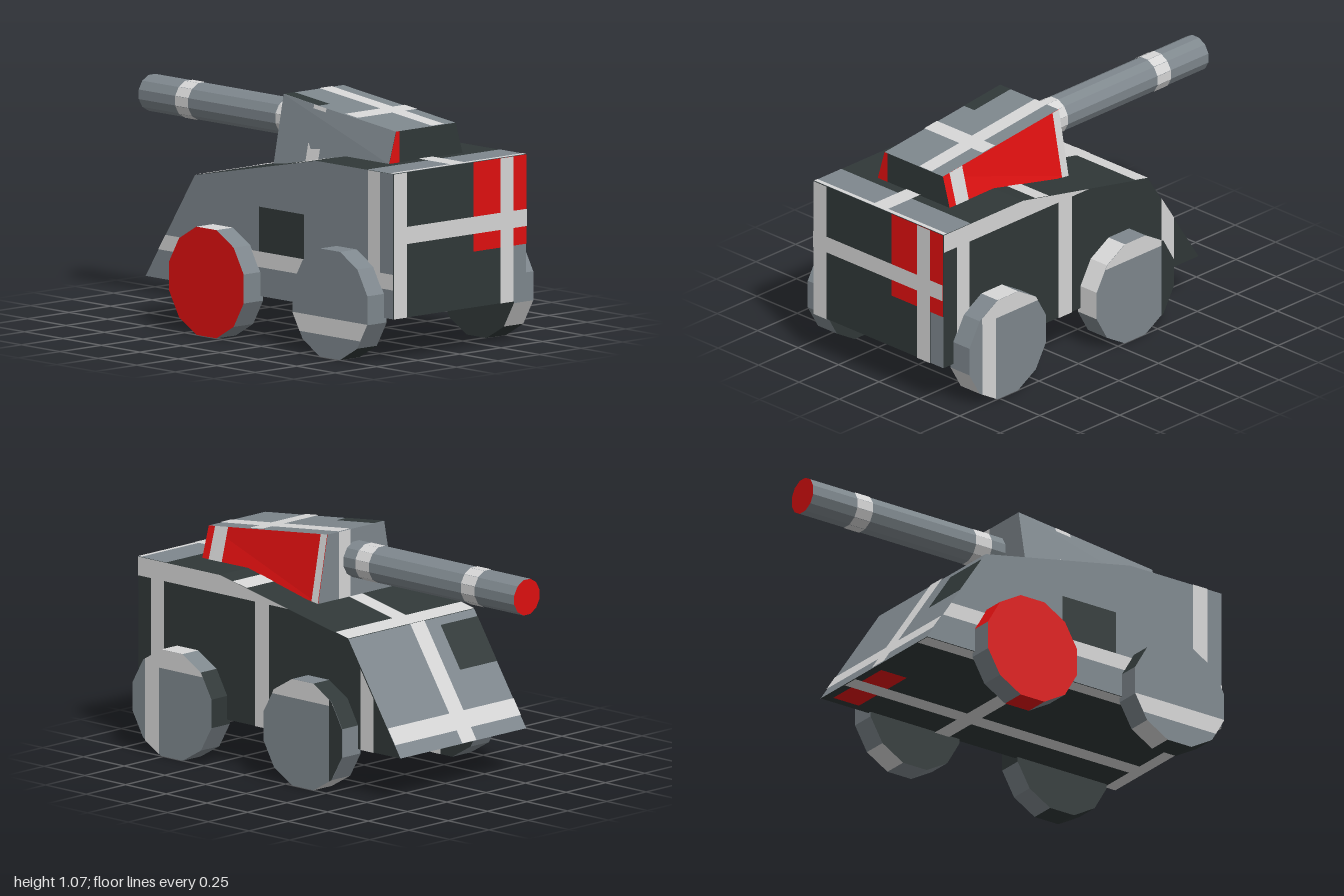
import * as THREE from 'three';

const V = (x, y, z) => new THREE.Vector3(x, y, z);
const mat = (name, color) => {
  const m = new THREE.MeshStandardMaterial({ color });
  m.name = name;
  return m;
};

// Keep the part of a convex polygon where one coordinate lies between lo and hi
function clip(points, axis, [lo, hi]) {
  for (const [limit, sign] of [[lo, 1], [hi, -1]]) {
    const out = [];
    points.forEach((p, i) => {
      const q = points[(i + 1) % points.length];
      const a = (p[axis] - limit) * sign, b = (q[axis] - limit) * sign;
      if (a >= 0) out.push(p);
      if (a * b < 0) out.push(p.clone().lerp(q, a / (a - b)));
    });
    points = out;
  }
  return points;
}

export function createModel() {
  const G = mat('blue grey', 0x7e878d), D = mat('dark green grey', 0x303838);
  const W = mat('pale grey', 0xd6d6d6), R = mat('red', 0xe01010);
  const model = new THREE.Group();

  const part = (name) => {
    const g = new THREE.Group();
    g.name = name;
    model.add(g);
    return g;
  };

  // Flat convex face turned away from centre, with painted patches [material, {axis: [lo, hi]}]
  function face(group, name, pts, centre, base, patches = []) {
    const mid = pts.reduce((s, p) => s.add(p), V(0, 0, 0)).divideScalar(pts.length);
    const n = pts[1].clone().sub(pts[0]).cross(pts[2].clone().sub(pts[0])).normalize();
    if (n.dot(mid.sub(centre)) < 0) {
      pts = [...pts].reverse();
      n.negate();
    }
    [[base, {}], ...patches].forEach(([material, box], layer) => {
      let poly = pts;
      for (const axis in box) poly = clip(poly, axis, box[axis]);
      if (poly.length < 3) return;
      poly = poly.map((p) => p.clone().addScaledVector(n, layer * 0.0014));
      const tris = [];
      for (let i = 1; i < poly.length - 1; i++) tris.push(poly[0], poly[i], poly[i + 1]);
      const geo = new THREE.BufferGeometry().setFromPoints(tris);
      geo.computeVertexNormals();
      const mesh = new THREE.Mesh(geo, material);
      mesh.name = layer ? name + 'Paint' + layer : name;
      group.add(mesh);
    });
  }

  // Hull: a side profile of [z, y] points, 0.8 wide
  const hull = part('hull'), hc = V(0, 0.5, 0.2);
  const profile = [[1, 0.2], [1, 0.85], [0.5, 0.85], [-0.29, 0.69], [-0.61, 0.2]];
  const skin = [
    ['hullFront', D, [
      [G, { x: [0.32, 0.4], y: [0.2, 0.45] }],
      [R, { x: [0.08, 0.4], y: [0.45, 0.85] }],
      [W, { x: [-0.4, -0.32] }],
      [W, { x: [0.24, 0.32] }],
      [W, { y: [0.53, 0.607] }]]],
    ['frontRoof', D, [
      [G, { z: [0.83, 1] }],
      [W, { z: [0.98, 1] }],
      [W, { x: [-0.045, 0.04] }]]],
    ['slopedRoof', D, [
      [W, { z: [0.335, 0.42] }],
      [W, { z: [-0.29, -0.21] }],
      [W, { x: [-0.045, 0.04] }]]],
    ['hullBack', G, [
      [D, { x: [-0.4, -0.165], z: [-0.43, -0.31] }],
      [W, { z: [-0.575, -0.53] }],
      [W, { x: [-0.08, 0.01] }]]],
    ['hullBottom', D, [
      [R, { x: [0, 0.36], z: [-0.57, -0.43] }],
      [W, { x: [-0.4, -0.33] }],
      [W, { x: [0.14, 0.22] }],
      [W, { z: [0, 0.08] }],
      [W, { z: [0.94, 1] }]]],
  ];
  skin.forEach(([name, base, paint], i) => {
    const [a, b] = [profile[i], profile[(i + 1) % 5]];
    face(hull, name, [V(-0.4, a[1], a[0]), V(0.4, a[1], a[0]), V(0.4, b[1], b[0]), V(-0.4, b[1], b[0])],
      hc, base, paint);
  });
  face(hull, 'leftSide', profile.map(([z, y]) => V(0.4, y, z)), hc, D, [
    [W, { y: [0.765, 0.85] }],
    [W, { z: [0.84, 0.92] }],
    [W, { z: [0.195, 0.28] }],
    [W, { z: [-0.45, -0.37] }]]);
  face(hull, 'rightSide', profile.map(([z, y]) => V(-0.4, y, z)), hc, G, [
    [D, { z: [0.13, 0.42], y: [0.4, 0.6] }],
    [W, { y: [0.33, 0.4] }],
    [W, { z: [0.84, 0.92] }]]);

  // Turret: tapered box, taller at the back and sunk onto the sloped roof
  const turret = part('turret'), tc = V(0, 0.92, 0.4);
  const corner = (s, top, back) => back
    ? V(s * (top ? 0.18 : 0.24), top ? 1.07 : 0.765, 0.05)
    : V(s * (top ? 0.18 : 0.222), top ? 0.99 : 0.848, 0.78);
  const side = (s) => [corner(s, 0, 0), corner(s, 1, 0), corner(s, 1, 1), corner(s, 0, 1)];
  const end = (back) => [corner(-1, 0, back), corner(1, 0, back), corner(1, 1, back), corner(-1, 1, back)];
  face(turret, 'turretTop', [corner(-1, 1, 0), corner(1, 1, 0), corner(1, 1, 1), corner(-1, 1, 1)], tc, G, [
    [D, { x: [-0.18, -0.115], z: [0.05, 0.28] }],
    [W, { x: [0.035, 0.11] }],
    [W, { z: [0.45, 0.53] }]]);
  face(turret, 'turretLeft', side(1), tc, R, [
    [W, { z: [0.66, 0.74] }],
    [W, { z: [0.05, 0.09] }]]);
  face(turret, 'turretRight', side(-1), tc, G, [[W, { z: [0.25, 0.33] }]]);
  face(turret, 'turretFront', end(0), tc, D, [[R, { x: [-0.23, -0.16] }]]);
  face(turret, 'turretBack', end(1), tc, G, [[W, { x: [0.035, 0.11] }]]);

  // Twelve-sided ring with a flat top; at(u, v) places a point of the ring
  const ring = (radius, at) => Array.from({ length: 12 }, (_, k) => {
    const a = ((k - 0.5) * Math.PI) / 6;
    return at(radius * Math.cos(a), radius * Math.sin(a));
  });
  function prism(group, name, radius, at0, at1, colours, paint) {
    const r0 = ring(radius, at0), r1 = ring(radius, at1);
    const c = at0(0, 0).add(at1(0, 0)).multiplyScalar(0.5);
    for (let k = 0; k < 12; k++) {
      const j = (k + 1) % 12;
      face(group, name + 'Facet', [r0[k], r0[j], r1[j], r1[k]], c, colours[k], paint);
    }
    return [r0, r1, c];
  }

  // Gun barrel with two pale bands and a red muzzle
  const gun = part('gunBarrel');
  const barrelAt = (z) => (u, v) => V(u, 0.93 + v, z);
  const [, muzzle, gc] = prism(gun, 'barrel', 0.083, barrelAt(0.06), barrelAt(-1), Array(12).fill(G), [
    [W, { z: [-0.11, -0.025] }],
    [W, { z: [-0.76, -0.675] }]]);
  face(gun, 'muzzle', muzzle, gc, R);

  // Wheels: facet colours run from the front over the top, the back and the bottom
  const wheels = [
    ['frontLeftWheel', 1, 0.697, [G, G, G, W, G, D, D, G, G, D, D, W], G,
      [[W, { y: [0.4, 0.5], z: [0.4, 0.86] }], [W, { z: [0.775, 0.86] }]], D, []],
    ['backLeftWheel', 1, -0.107, [W, W, W, G, D, D, G, G, W, G, G, G], G,
      [[W, { y: [0.4, 0.5] }], [D, { z: [-0.36, -0.27] }]], D, []],
    ['frontRightWheel', -1, 0.697, [G, G, G, G, G, D, G, G, W, D, D, G], G,
      [[W, { y: [0.1, 0.18] }]], D,
      [[R, { y: [0.08, 0.22], z: [0.55, 0.8] }], [W, { y: [0.22, 0.3] }]]],
    ['backRightWheel', -1, -0.107, [G, G, G, W, W, R, G, G, G, R, G, G], R, [], D,
      [[W, { z: [-0.1, -0.02] }]]],
  ];
  for (const [name, s, z, colours, outer, outerPaint, inner, innerPaint] of wheels) {
    const g = part(name);
    const at = (x) => (u, v) => V(s * x, 0.2425 + v, z + u);
    const [r0, r1, c] = prism(g, 'tread', 0.251, at(0.383), at(0.5), colours);
    face(g, 'outerDisc', r1, c, outer, outerPaint);
    face(g, 'innerDisc', r0, c, inner, innerPaint);
  }
  return model;
}
